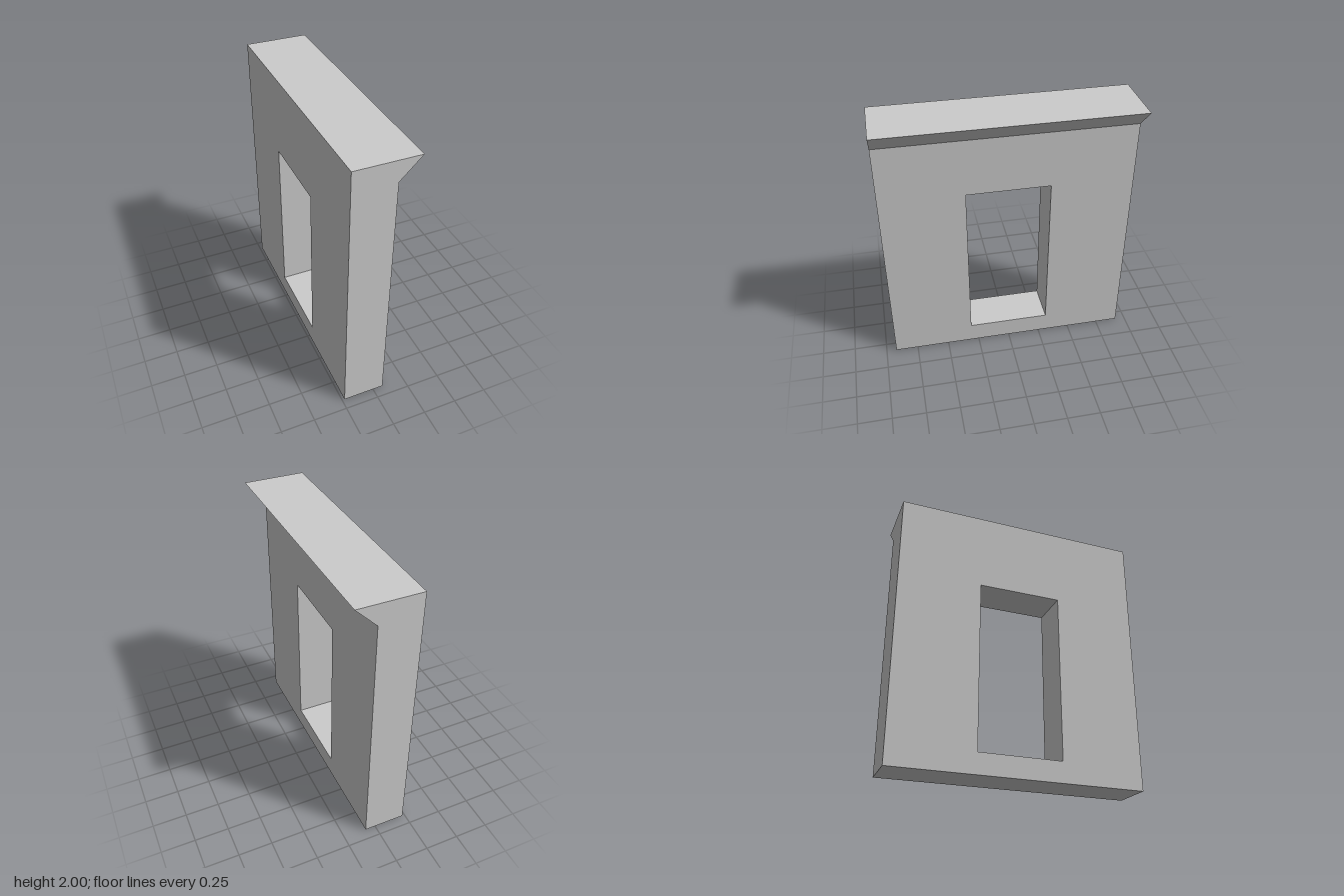
import * as THREE from 'three';

const U = 2 / 13; // module: half the wall thickness

export function createModel() {
  const group = new THREE.Group();
  const material = new THREE.MeshStandardMaterial({ color: 0xcccccc, flatShading: true });
  const halfLength = 6 * U;
  const back = -1.5 * U;
  const face = 0.5 * U;

  const add = (name, geometry) => {
    const mesh = new THREE.Mesh(geometry, material);
    mesh.name = name;
    group.add(mesh);
  };
  const polygon = (points) => points.map(([a, b]) => new THREE.Vector2(a, b));
  const rectangle = (half, bottom, top) =>
    polygon([[-half, bottom], [half, bottom], [half, top], [-half, top]]);

  // Wall slab with a rectangular window, extruded through its thickness along x
  const outline = new THREE.Shape(rectangle(halfLength, 0, 2));
  outline.holes.push(new THREE.Path(rectangle(2 * U, U, 9.2 * U)));
  const wall = new THREE.ExtrudeGeometry(outline, { depth: face - back, bevelEnabled: false });
  wall.rotateY(Math.PI / 2).translate(back, 0, 0);
  add('wall', wall);

  // Wedge-shaped cornice along the top edge
  const wedge = new THREE.Shape(polygon([[face, 2 - U], [face + U, 2], [face, 2]]));
  const cornice = new THREE.ExtrudeGeometry(wedge, { depth: 2 * halfLength, bevelEnabled: false });
  cornice.translate(0, 0, -halfLength);
  add('cornice', cornice);

  return group;
}
